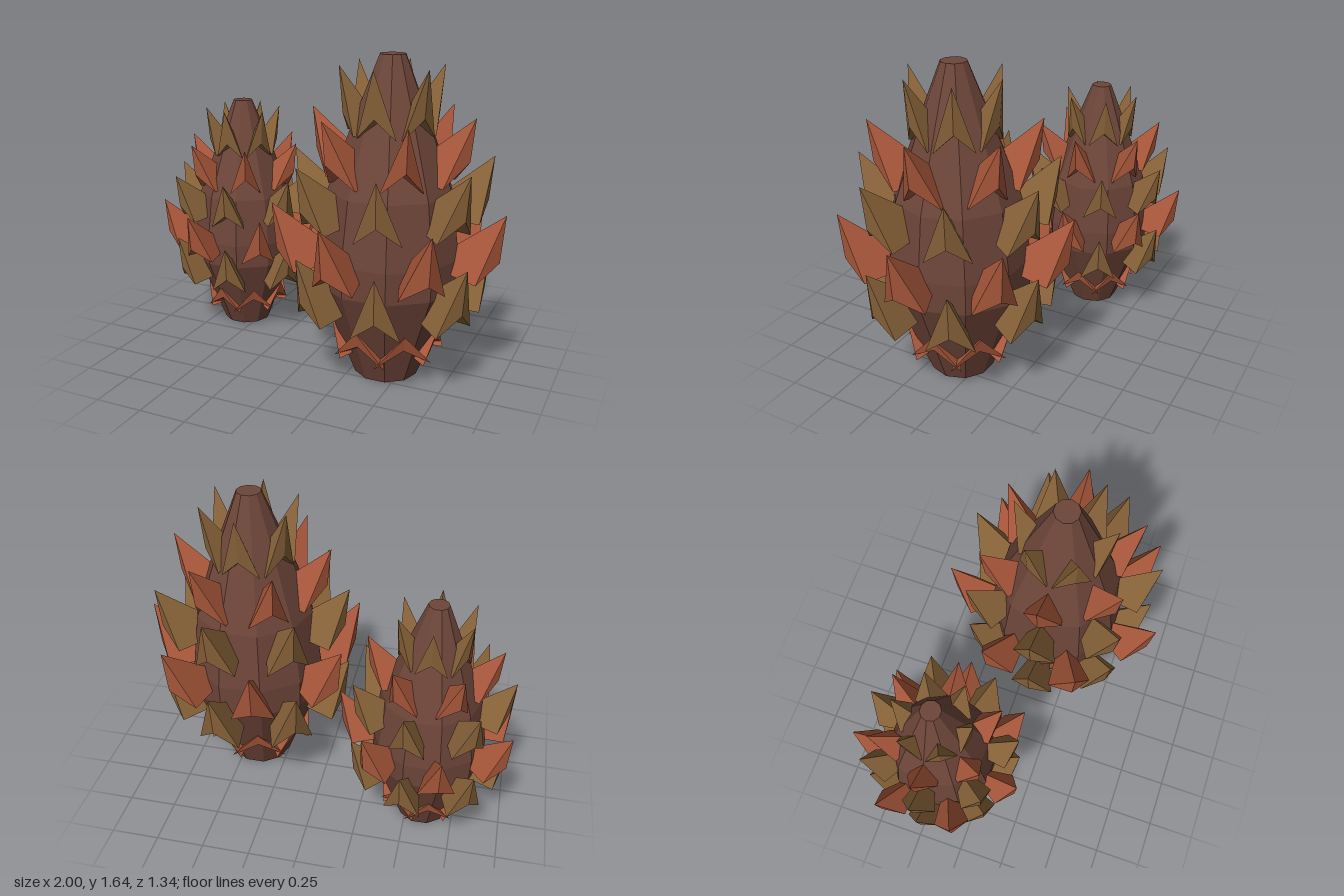
import * as THREE from 'three';

const mat = (name, color) => {
  const m = new THREE.MeshStandardMaterial({ color, flatShading: true });
  m.name = name;
  return m;
};

// Pointed scale: tip, outer keel, two side corners and an inner root (x is radial)
function scaleGeometry({ tip, corner, height, keel, half }) {
  const T = [tip, height, 0];
  const O = [tip - 0.02, keel, 0];
  const L = [corner, 0, half];
  const R = [corner, 0, -half];
  const I = [Math.max(0.04, tip - 0.4), 0.03, 0];
  const faces = [T, L, O, T, O, R, T, I, L, T, R, I, O, L, I, O, I, R];
  const g = new THREE.BufferGeometry();
  g.setAttribute('position', new THREE.Float32BufferAttribute(faces.flat(), 3));
  g.computeVertexNormals();
  return g;
}

export function createModel() {
  const bark = mat('dark bark', 0x6d4539);
  const rust = mat('rust scale', 0xaa583b);
  const ochre = mat('ochre scale', 0x8a643a);

  // Ten-sided core, closed at both ends
  const profile = [[0, 0], [0.165, 0], [0.36, 0.5], [0.365, 0.66], [0.32, 0.98],
    [0.2, 1.3], [0.065, 1.64], [0, 1.64]].map(([r, y]) => new THREE.Vector2(r, y));
  const coreGeo = new THREE.LatheGeometry(profile, 10, Math.PI / 2);

  // Rows of scales, from the collar at the bottom to the crown
  const rows = [
    { name: 'collarScale', y: 0.13, count: 7, tip: 0.285, corner: 0.25, height: 0.17, keel: 0.09, half: 0.15, m: rust },
    { name: 'lowerScale', y: 0.36, count: 7, tip: 0.52, corner: 0.45, height: 0.33, keel: 0.1, half: 0.12, m: ochre },
    { name: 'middleScale', y: 0.58, count: 7, tip: 0.585, corner: 0.48, height: 0.33, keel: 0.09, half: 0.115, m: rust },
    { name: 'shoulderScale', y: 0.82, count: 7, tip: 0.515, corner: 0.43, height: 0.32, keel: 0.1, half: 0.115, m: ochre },
    { name: 'upperScale', y: 1.03, count: 6, tip: 0.418, corner: 0.3, height: 0.33, keel: 0.12, half: 0.105, m: rust },
    { name: 'crownScale', y: 1.26, count: 6, tip: 0.258, corner: 0.2, height: 0.33, keel: 0.1, half: 0.1, m: ochre },
  ];
  rows.forEach((row) => { row.geo = scaleGeometry(row); });

  function makeCone(name, x, z, size) {
    const cone = new THREE.Group();
    cone.name = name;
    const core = new THREE.Mesh(coreGeo, bark);
    core.name = 'core';
    cone.add(core);
    rows.forEach((row, i) => {
      for (let k = 0; k < row.count; k++) {
        const s = new THREE.Mesh(row.geo, row.m);
        s.name = row.name;
        s.position.y = row.y;
        // every other row is turned by half a step
        s.rotation.y = ((k + (i % 2) / 2) / row.count) * Math.PI * 2;
        cone.add(s);
      }
    });
    cone.position.set(x, 0, z);
    cone.scale.setScalar(size);
    return cone;
  }

  const group = new THREE.Group();
  group.name = 'pineCones';
  group.add(makeCone('largeCone', 0.415, 0.1, 1));
  group.add(makeCone('smallCone', -0.585, -0.215, 0.795));
  return group;
}
